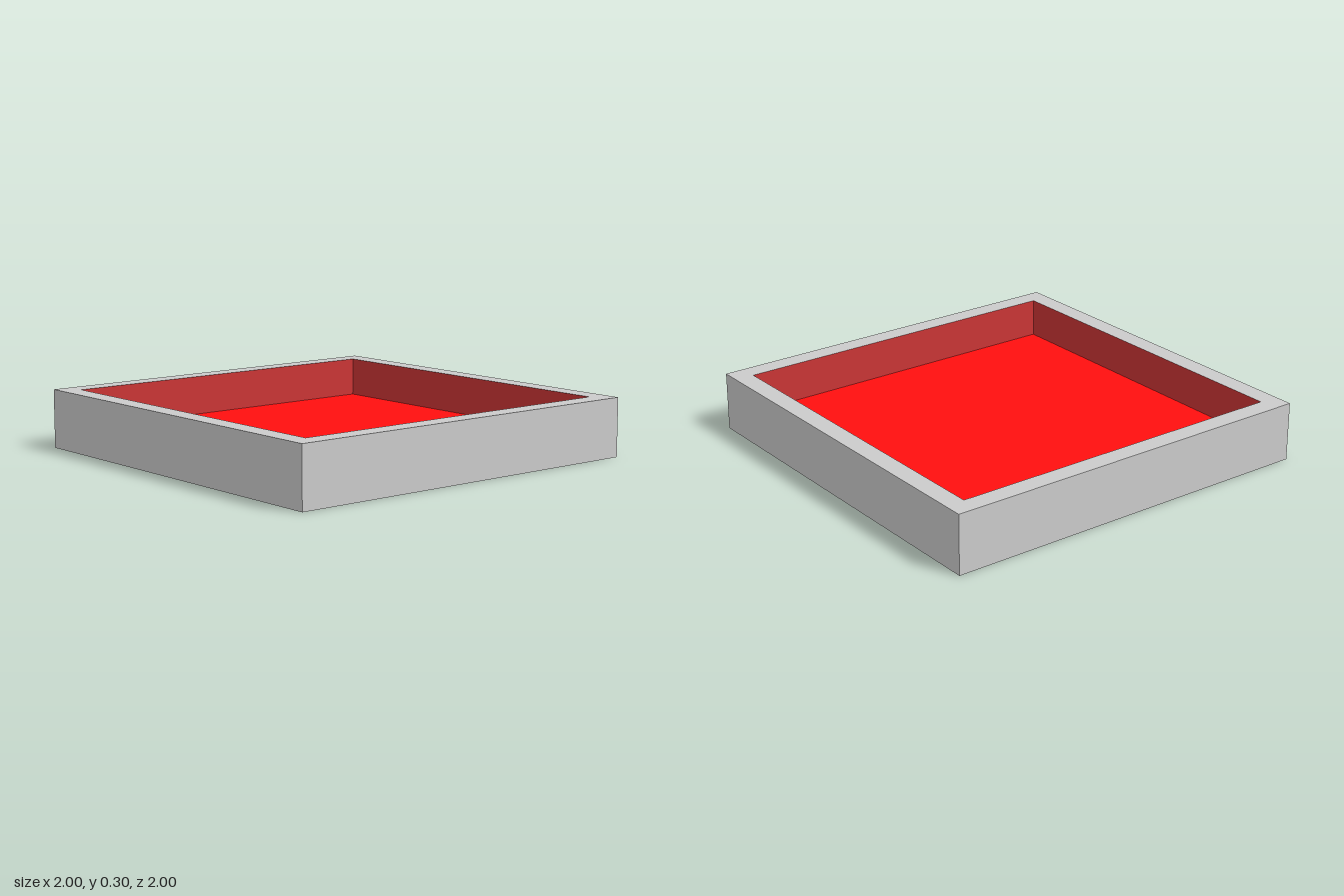
import * as THREE from 'three';

const OUTER = 1, INNER = 0.9, HEIGHT = 0.3, FLOOR = 0.1;

// Square surface swept around the y axis from a [half width, y] profile
function squareSweep(profile) {
  const points = profile.map(([r, y]) => new THREE.Vector2(r * Math.SQRT2, y));
  const geometry = new THREE.LatheGeometry(points, 4, Math.PI / 4).toNonIndexed();
  geometry.computeVertexNormals();
  return geometry;
}

// Horizontal square facing up or down
function square(half, y, up) {
  return new THREE.PlaneGeometry(half * 2, half * 2)
    .rotateX(up ? -Math.PI / 2 : Math.PI / 2)
    .translate(0, y, 0);
}

export function createModel() {
  const group = new THREE.Group();
  const add = (name, geometry, color) => {
    const material = new THREE.MeshStandardMaterial({ color, flatShading: true });
    const mesh = new THREE.Mesh(geometry, material);
    mesh.name = name;
    group.add(mesh);
  };

  // Grey tray: outer walls with flat rim, and underside
  add('outerWallsAndRim', squareSweep([[OUTER, 0], [OUTER, HEIGHT], [INNER, HEIGHT]]), 0xcccccc);
  add('underside', square(OUTER, 0, false), 0xcccccc);

  // Red recess: muted walls around a bright floor
  add('innerWalls', squareSweep([[INNER, HEIGHT], [INNER, FLOOR]]), 0xcb3535);
  add('recessFloor', square(INNER, FLOOR, true), 0xff0f0f);

  return group;
}
